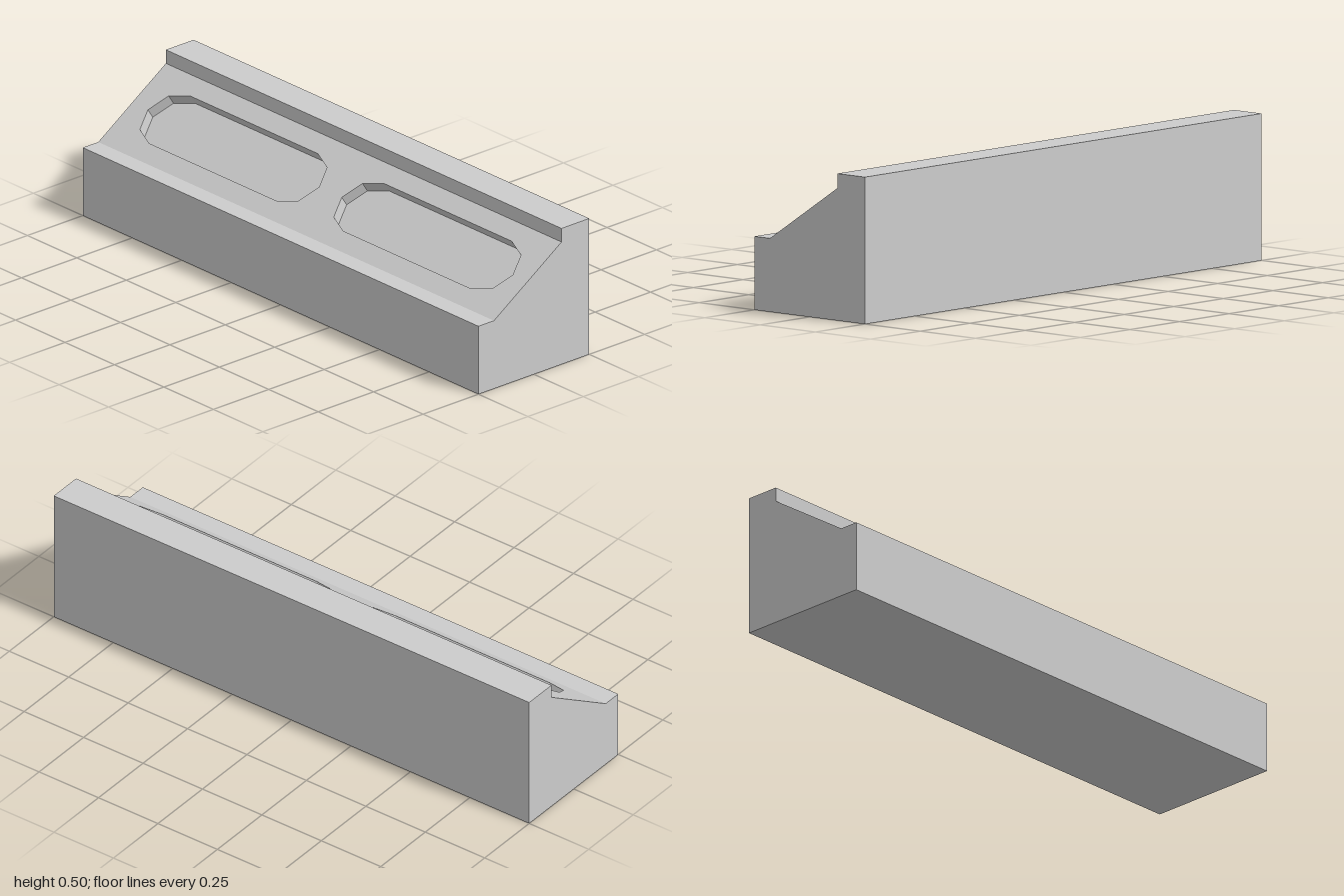
import * as THREE from 'three';

const LENGTH = 2, DEPTH = 0.04, RADIUS = 0.11, HALF_SLOT = 0.4325;
const SLOTS = [-0.4875, 0.4925];

// Side profile as [z, y], running up the front, over the top and down the back
const PROFILE = [[0.25, 0], [0.25, 0.25], [0.18, 0.25], [-0.125, 0.45], [-0.125, 0.5], [-0.25, 0.5], [-0.25, 0]];
const FACES = ['frontFace', 'frontLedge', 'slopedFace', 'topStep', 'topFace', 'backFace', 'bottomFace'];

const grey = new THREE.MeshStandardMaterial({ color: 0xcccccc, flatShading: true });
const pale = new THREE.MeshStandardMaterial({ color: 0xf0f0f0, flatShading: true });

function add(parent, name, geometry, material = grey) {
  const mesh = new THREE.Mesh(geometry, material);
  mesh.name = name;
  parent.add(mesh);
  return mesh;
}

// Counter-clockwise slot outline: two half circles of four sides each
function slotOutline(cx) {
  const points = [];
  for (const [side, start] of [[1, -Math.PI / 2], [-1, Math.PI / 2]]) {
    for (let i = 0; i <= 4; i++) {
      const a = start + (i * Math.PI) / 4;
      points.push(new THREE.Vector2(
        cx + side * (HALF_SLOT - RADIUS) + RADIUS * Math.cos(a),
        RADIUS * Math.sin(a)));
    }
  }
  return points;
}

// Inward-facing wall between the slot rim and its floor
function slotWall(outline) {
  const v = [];
  outline.forEach((a, i) => {
    const b = outline[(i + 1) % outline.length];
    v.push(b.x, b.y, -DEPTH, a.x, a.y, -DEPTH, a.x, a.y, 0);
    v.push(b.x, b.y, -DEPTH, a.x, a.y, 0, b.x, b.y, 0);
  });
  const g = new THREE.BufferGeometry();
  g.setAttribute('position', new THREE.Float32BufferAttribute(v, 3));
  g.computeVertexNormals();
  return g;
}

// Sloped panel with two recessed slots
function slopedPanel(parent, width) {
  const w = LENGTH / 2, h = width / 2;
  const panel = new THREE.Shape([[-w, -h], [w, -h], [w, h], [-w, h]].map(([x, y]) => new THREE.Vector2(x, y)));
  for (const cx of SLOTS) {
    const outline = slotOutline(cx);
    panel.holes.push(new THREE.Path(outline));
    add(parent, 'slotWall', slotWall(outline));
    add(parent, 'slotFloor', new THREE.ShapeGeometry(new THREE.Shape(outline)), pale).position.z = -DEPTH;
  }
  add(parent, 'slopedPanel', new THREE.ShapeGeometry(panel));
}

export function createModel() {
  const model = new THREE.Group();
  model.name = 'slopedBlock';

  // Long faces, one for each edge of the profile
  PROFILE.forEach(([z0, y0], i) => {
    const [z1, y1] = PROFILE[(i + 1) % PROFILE.length];
    const width = Math.hypot(z1 - z0, y1 - y0);
    const face = new THREE.Group();
    face.name = FACES[i];
    face.position.set(0, (y0 + y1) / 2, (z0 + z1) / 2);
    face.rotation.x = -Math.atan2(z0 - z1, y1 - y0);
    if (FACES[i] === 'slopedFace') slopedPanel(face, width);
    else add(face, FACES[i], new THREE.PlaneGeometry(LENGTH, width));
    model.add(face);
  });

  // End faces
  for (const side of [-1, 1]) {
    const shape = new THREE.Shape(PROFILE.map(([z, y]) => new THREE.Vector2(-side * z, y)));
    const end = add(model, side > 0 ? 'leftEnd' : 'rightEnd', new THREE.ShapeGeometry(shape));
    end.rotation.y = (side * Math.PI) / 2;
    end.position.x = (side * LENGTH) / 2;
  }
  return model;
}
